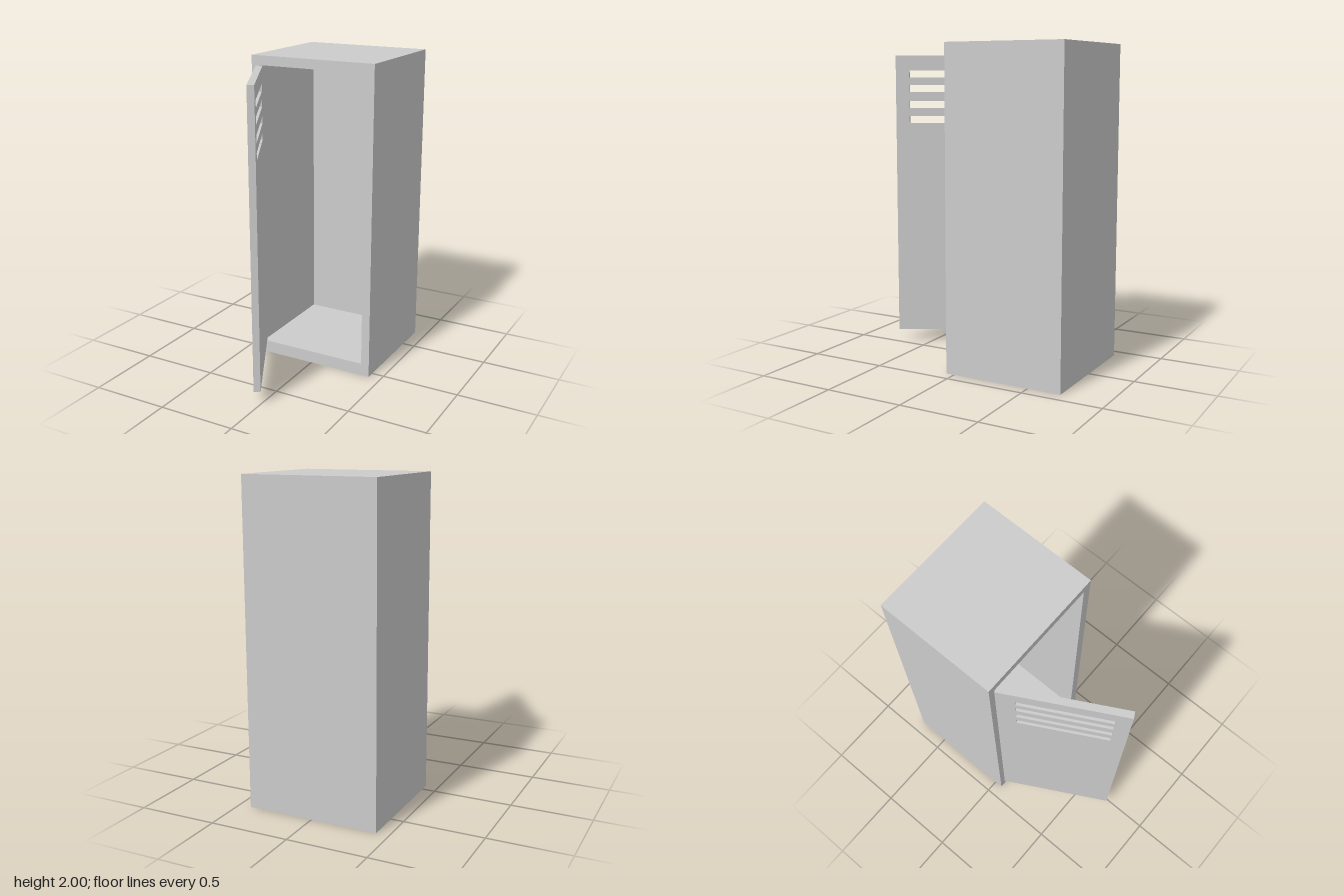
import * as THREE from 'three';

const material = new THREE.MeshStandardMaterial({ color: 0xcccccc, flatShading: true });

// Adds an axis-aligned rectangle to a shape or path
function rect(path, x0, y0, x1, y1) {
  path.moveTo(x0, y0);
  path.lineTo(x1, y0);
  path.lineTo(x1, y1);
  path.lineTo(x0, y1);
  path.closePath();
  return path;
}

// Rectangular panel of given depth with rectangular holes
function panel(name, outline, holes, depth) {
  const shape = rect(new THREE.Shape(), ...outline);
  for (const h of holes) shape.holes.push(rect(new THREE.Path(), ...h));
  const mesh = new THREE.Mesh(
    new THREE.ExtrudeGeometry(shape, { depth, bevelEnabled: false }), material);
  mesh.name = name;
  return mesh;
}

export function createModel() {
  const model = new THREE.Group();
  model.name = 'locker';

  const back = -0.71, front = 0.055;
  const opening = [-0.365, 0.08, 0.365, 1.94];

  // Cabinet walls, top and bottom as one open sleeve
  const body = panel('cabinetBody', [-0.42, 0, 0.42, 2], [opening], front - back);
  body.position.z = back;
  model.add(body);

  // Back wall fills the rear of the sleeve
  const backWall = panel('backWall', opening, [], 0.075);
  backWall.position.z = back;
  model.add(backWall);

  // Open door with four vent slots, hinged on its lower x side
  const slots = [1.495, 1.595, 1.7, 1.795].map((y) => [0.11, y, 0.652, y + 0.046]);
  const door = panel('door', [0, 0.087, 0.74, 1.937], slots, 0.042);
  door.position.set(-0.35, 0, 0.041);
  door.rotation.y = -1.07;
  model.add(door);

  return model;
}
